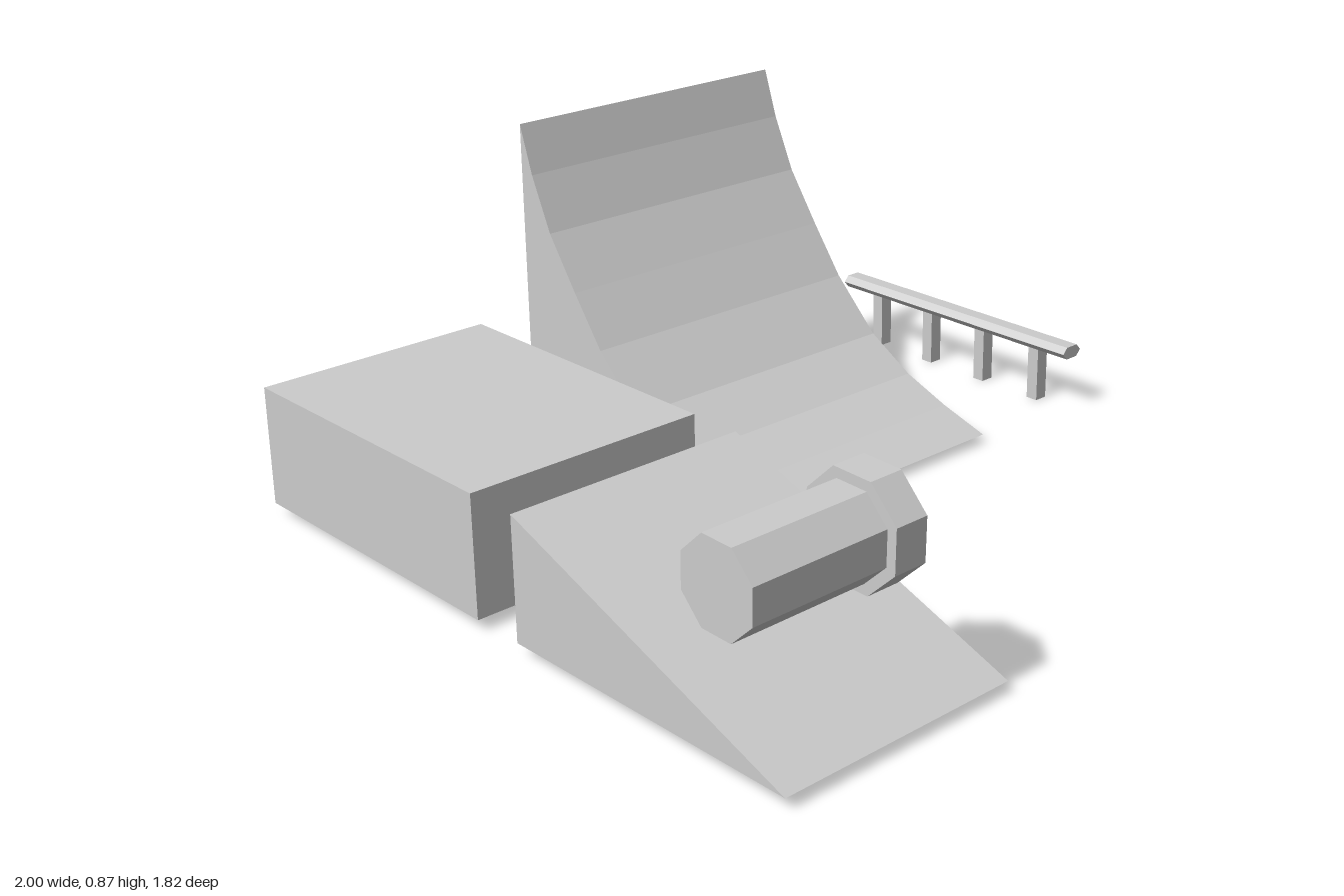
import * as THREE from 'three';

export function createModel() {
  const model = new THREE.Group();
  model.name = 'skateParkSet';
  const grey = new THREE.MeshStandardMaterial({ color: 0xcccccc, flatShading: true });
  grey.name = 'plainGrey';

  function add(name, geometry, x = 0, y = 0, z = 0, parent = model) {
    const mesh = new THREE.Mesh(geometry, grey);
    mesh.name = name;
    mesh.position.set(x, y, z);
    parent.add(mesh);
    return mesh;
  }

  // Side profile given as [z, y], swept along x from x0 to x1
  function sweptProfile(points, x0, x1) {
    const shape = new THREE.Shape(points.map(([z, y]) => new THREE.Vector2(-z, y)));
    const geometry = new THREE.ExtrudeGeometry(shape, { depth: x1 - x0, bevelEnabled: false });
    return geometry.rotateY(Math.PI / 2).translate(x0, 0, 0);
  }

  // Straight ramp and the box behind it
  add('straightRamp', sweptProfile([[0.91, 0.03], [0.072, 0.03], [0.072, 0.335]], -0.96, -0.325));
  add('platformBox', new THREE.BoxGeometry(0.635, 0.305, 0.843), -0.6425, 0.1825, -0.493);

  // Quarter pipe with a faceted curve
  add('quarterPipe', sweptProfile([
    [0, 0.025], [-0.838, 0.025], [-0.838, 0.865], [-0.797, 0.74], [-0.733, 0.6],
    [-0.64, 0.465], [-0.545, 0.335], [-0.41, 0.2], [-0.275, 0.12], [-0.14, 0.068],
  ], -0.225, 0.615));

  // Eight-sided hollow pipe: closed at the left end, collar round the open mouth
  const corner = 1 / Math.cos(Math.PI / 8);
  const outline = [
    [0, 0], [0.1, 0], [0.1, 0.35], [0.124, 0.35], [0.124, 0.435],
    [0.09, 0.435], [0.09, 0.01], [0, 0.01],
  ].map(([r, h]) => new THREE.Vector2(r * corner, h));
  const pipeGeometry = new THREE.LatheGeometry(outline, 8)
    .rotateY(Math.PI / 8)
    .rotateZ(-Math.PI / 2);
  add('pipe', pipeGeometry, -1, 0.434, 0.769).rotation.x = 0.025;

  // Grind rail: six-sided bar on four posts
  const rail = new THREE.Group();
  rail.name = 'grindRail';
  model.add(rail);
  const section = new THREE.Shape([
    [0.945, 0.15], [0.985, 0.15], [1, 0.167], [0.985, 0.184], [0.945, 0.184], [0.93, 0.167],
  ].map(([x, y]) => new THREE.Vector2(x, y)));
  add('railBar', new THREE.ExtrudeGeometry(section, { depth: 0.843, bevelEnabled: false }), 0, 0, -0.838, rail);
  for (let i = 0; i < 4; i++) {
    add('railPost', new THREE.BoxGeometry(0.038, 0.15, 0.035), 0.965, 0.075, -0.115 - i * 0.2, rail);
  }

  return model;
}
